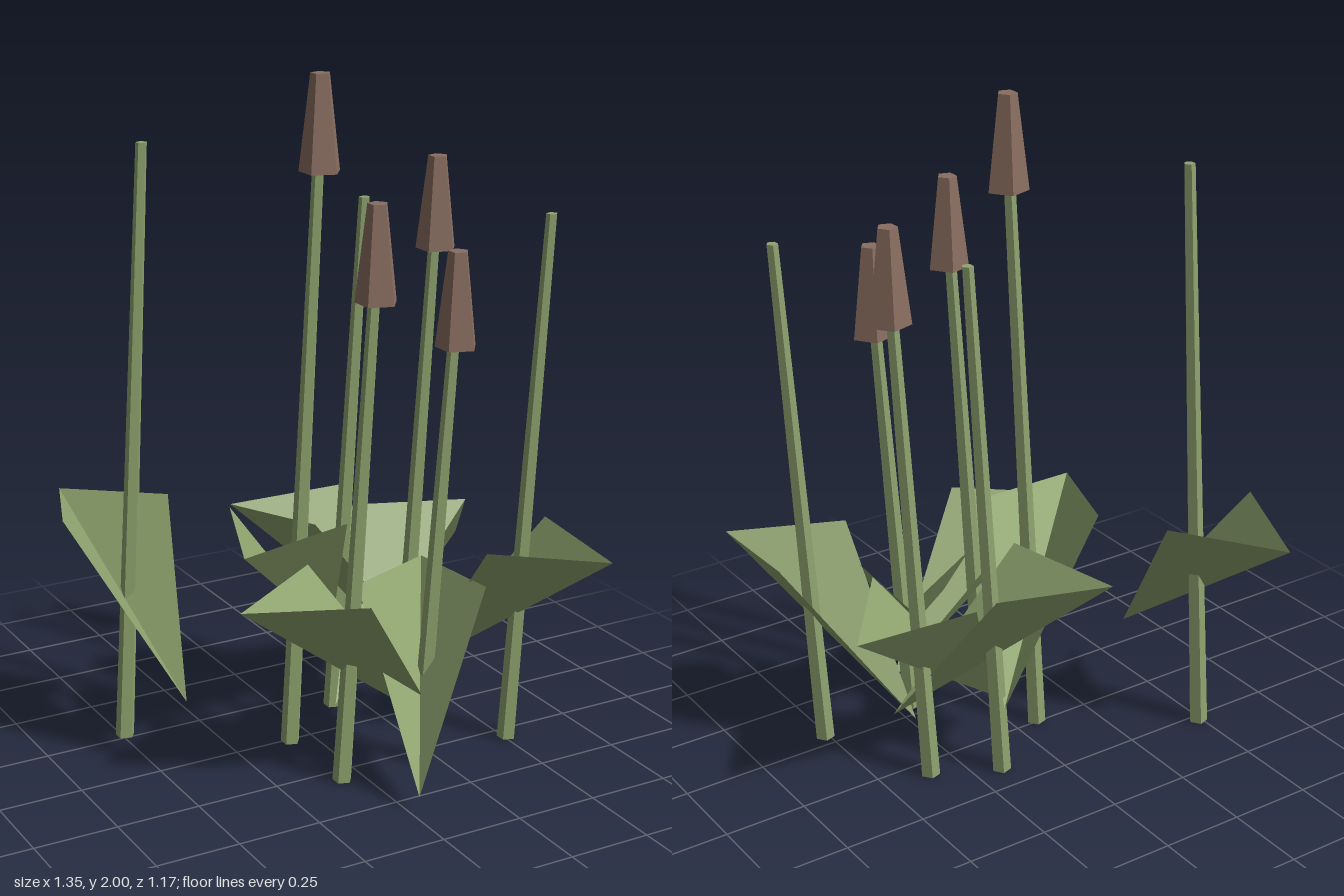
import * as THREE from 'three';

const green = new THREE.MeshStandardMaterial({ color: 0x8fa46f, flatShading: true });
green.name = 'reedGreen';
const leafGreen = green.clone();
leafGreen.side = THREE.DoubleSide;
const brown = new THREE.MeshStandardMaterial({ color: 0x8a6e60, flatShading: true });
brown.name = 'seedBrown';

// Five-sided tapered prism standing on its base, with one corner towards +x
function taper(rTop, rBottom, height) {
  return new THREE.CylinderGeometry(rTop, rBottom, height, 5, 1, false, Math.PI / 2)
    .translate(0, height / 2, 0);
}

// Slanted stem: sheared so both ends stay level
function stemGeometry(height, leanX, leanZ) {
  const geo = taper(0.017, 0.029, height);
  const p = geo.attributes.position;
  for (let i = 0; i < p.count; i++) {
    const t = p.getY(i) / height;
    p.setX(i, p.getX(i) + leanX * t);
    p.setZ(i, p.getZ(i) + leanZ * t);
  }
  geo.computeVertexNormals();
  return geo;
}

// Folded kite: low root, raised tip, two side corners bent up from the fold
function leafGeometry() {
  const root = [0, 0, -0.3225], tip = [0, 0.475, 0.3225];
  const left = [0.185, 0.5, 0.0145], right = [-0.185, 0.5, 0.0145];
  const geo = new THREE.BufferGeometry();
  geo.setAttribute('position', new THREE.Float32BufferAttribute(
    [...root, ...tip, ...left, ...root, ...right, ...tip], 3));
  geo.computeVertexNormals();
  return geo;
}

// x, z: foot of the stem; top: full height; leafY, yaw: root height and heading of the leaf
const reeds = [
  { x: -0.49, z: -0.27, top: 1.8, head: false, leafY: 0.225, yaw: -2.97 },
  { x: -0.075, z: 0.01, top: 2.0, head: true, leafY: 0.225, yaw: -0.90 },
  { x: -0.065, z: 0.305, top: 1.69, head: true, leafY: 0.105, yaw: -1.59 },
  { x: 0.195, z: 0.305, top: 1.53, head: true, leafY: 0.045, yaw: 2.59 },
  { x: 0.355, z: -0.06, top: 1.72, head: true, leafY: 0.11, yaw: 1.94 },
  { x: 0.51, z: 0.297, top: 1.6, head: false, leafY: 0.15, yaw: 0.50 },
  { x: 0.165, z: -0.155, top: 1.6, head: false, leafY: 0.16, yaw: -2.30 },
];

export function createModel() {
  const model = new THREE.Group();
  model.name = 'reedClump';
  const leafGeo = leafGeometry();
  const headHeight = 0.275;
  const headGeo = taper(0.029, 0.062, headHeight);
  const leanX = 0.09, leanZ = 0.02;

  for (const r of reeds) {
    const reed = new THREE.Group();
    reed.name = 'reed';
    reed.position.set(r.x, 0, r.z);

    const stemTop = r.head ? r.top - headHeight / 2 : r.top;
    const stem = new THREE.Mesh(stemGeometry(stemTop, leanX, leanZ), green);
    stem.name = 'stem';
    reed.add(stem);

    const leaf = new THREE.Mesh(leafGeo, leafGreen);
    leaf.name = 'leaf';
    leaf.position.y = r.leafY;
    leaf.rotation.y = r.yaw;
    reed.add(leaf);

    if (r.head) {
      const head = new THREE.Mesh(headGeo, brown);
      head.name = 'seedHead';
      head.position.set(leanX, r.top - headHeight, leanZ);
      reed.add(head);
    }
    model.add(reed);
  }
  return model;
}
